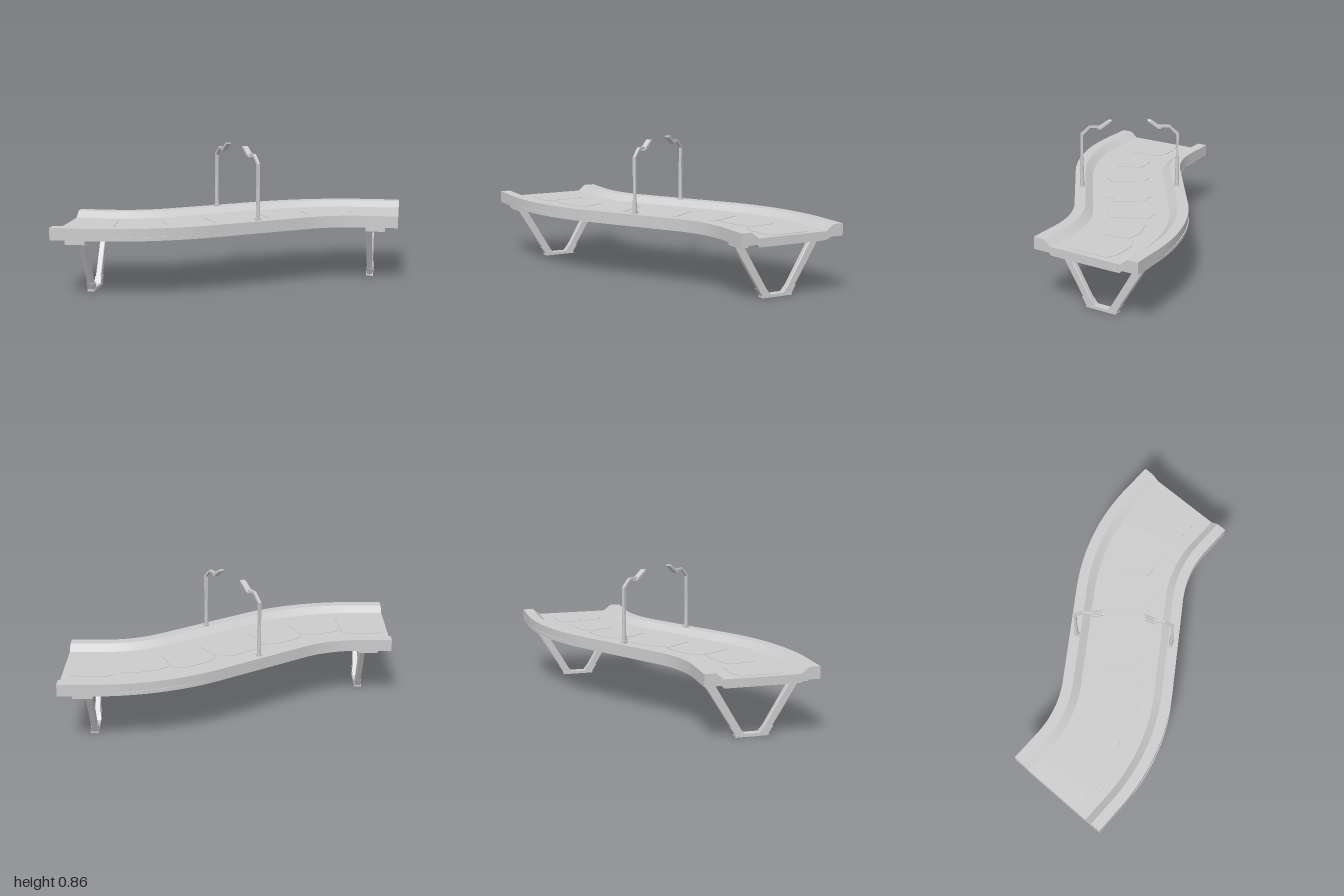
import * as THREE from 'three';
import { toCreasedNormals } from 'three/addons/utils/BufferGeometryUtils.js';

const mat = new THREE.MeshStandardMaterial({ color: 0xcccccc });
const ANGLE = 0.593, RADIUS = 0.969, LINE = 0.312; // bend, arc radius, half of the straight middle
const ARC = RADIUS * ANGLE, END = LINE + ARC + 0.2;

// S-shaped centre line: position and sideways direction at arc length s
function pathAt(s) {
  const sign = Math.sign(s) || 1, q = Math.abs(s);
  const c = Math.cos(ANGLE), sn = Math.sin(ANGLE);
  const l = Math.min(q, LINE);
  const a = ANGLE - Math.min(Math.max(q - LINE, 0), ARC) / RADIUS;
  const x = l * c + RADIUS * (sn - Math.sin(a)) + Math.max(q - LINE - ARC, 0);
  const z = -l * sn - RADIUS * (Math.cos(a) - c);
  return { x: x * sign, z: z * sign, nx: Math.sin(a), nz: Math.cos(a) };
}

// Sweep a closed section of [sideways, height] points along the path, with capped ends
function sweep(section, s0, s1, steps) {
  const pos = [], idx = [];
  let n = 0;
  for (let i = 0; i <= steps; i++) {
    const t = i / steps, s = s0 + (s1 - s0) * t, p = pathAt(s), ring = section(s, t);
    n = ring.length;
    for (const [d, y] of ring) pos.push(p.x + p.nx * d, y, p.z + p.nz * d);
  }
  for (let i = 0; i < steps; i++) {
    for (let j = 0; j < n; j++) {
      const a = i * n + j, d = i * n + (j + 1) % n;
      idx.push(a, a + n, d + n, a, d + n, d);
    }
  }
  for (const [t, base] of [[0, 0], [1, steps * n]]) {
    const ring = section(t ? s1 : s0, t).map(([d, y]) => new THREE.Vector2(d, y));
    for (const [a, b, c] of THREE.ShapeUtils.triangulateShape(ring, [])) {
      if (t) idx.push(base + a, base + c, base + b);
      else idx.push(base + a, base + b, base + c);
    }
  }
  const g = new THREE.BufferGeometry();
  g.setAttribute('position', new THREE.Float32BufferAttribute(pos, 3));
  g.setIndex(idx);
  return toCreasedNormals(g, 0.4);
}

// Flat outline in (z, y), thickened along x
function slab(points, width, bevel = 0) {
  const g = new THREE.ExtrudeGeometry(new THREE.Shape(points.map(([u, y]) => new THREE.Vector2(u, y))), {
    depth: width - 2 * bevel, bevelEnabled: bevel > 0, bevelSize: bevel, bevelThickness: bevel, bevelOffset: -bevel, bevelSegments: 1,
  });
  return g.translate(0, 0, bevel - width / 2).rotateY(-Math.PI / 2);
}

function add(parent, name, geometry, x = 0, y = 0, z = 0) {
  const m = new THREE.Mesh(geometry, mat);
  m.name = name;
  m.position.set(x, y, z);
  parent.add(m);
  return m;
}

const box = (w, h, d) => new THREE.BoxGeometry(w, h, d);

// Deck section: raised rims, sunken floor, underside hollowed towards the middle
function deckSection(s) {
  const fade = 1 - THREE.MathUtils.smoothstep(Math.abs(s), 0.45, 0.8);
  const pts = [[0.34, 0.43], [0.275, 0.43], [0.228, 0.393], [-0.228, 0.393], [-0.275, 0.43], [-0.34, 0.43],
    [-0.34, 0.357], [-0.24, 0.357], [-0.225, 0.342]];
  for (let i = 0; i <= 16; i++) {
    const d = -0.2 + 0.025 * i;
    pts.push([d, 0.342 + 0.025 * fade * Math.sin(Math.PI * i / 16) ** 2]);
  }
  pts.push([0.225, 0.342], [0.24, 0.357], [0.34, 0.357]);
  return pts;
}

function strip(d0, d1, y0, y1) {
  return [[d1, y1], [d0, y1], [d0, y0], [d1, y0]];
}

function makeLegFrame() {
  const legs = new THREE.Group();
  legs.name = 'legFrame';
  for (const k of [1, -1]) {
    const limb = [[0.045, 0.01], [0.097, 0.01], [0.298, 0.335], [0.285, 0.35], [0.245, 0.35]].map(([u, y]) => [u * k, y]);
    add(legs, 'leg', slab(limb, 0.034, 0.004));
    const sleeve = [[0.04, 0.012], [0.1, 0.012], [0.127, 0.055], [0.075, 0.055]].map(([u, y]) => [u * k, y]);
    add(legs, 'legSleeve', slab(sleeve, 0.04));
    add(legs, 'legMount', box(0.12, 0.024, 0.06), -0.035, 0.338, 0.275 * k);
    add(legs, 'legBracket', box(0.044, 0.03, 0.05), 0, 0.342, 0.27 * k);
    add(legs, 'legBolt', new THREE.CylinderGeometry(0.009, 0.009, 0.048, 12).rotateZ(Math.PI / 2), 0, 0.322, 0.258 * k);
  }
  add(legs, 'foot', slab([[-0.1, 0], [0.1, 0], [0.1, 0.01], [0.09, 0.018], [-0.09, 0.018], [-0.1, 0.01]], 0.045));
  legs.position.set(-0.825, 0, 0.34);
  return legs;
}

function makeLamp() {
  const lamp = new THREE.Group();
  lamp.name = 'lamp';
  add(lamp, 'lampPole', slab([[-0.303, 0.42], [-0.288, 0.42], [-0.288, 0.765], [-0.243, 0.81], [-0.18, 0.81],
    [-0.18, 0.823], [-0.247, 0.823], [-0.303, 0.772]], 0.018));
  add(lamp, 'lampBase', toCreasedNormals(new THREE.CylinderGeometry(0.01, 0.014, 0.2, 8), 0.9), 0, 0.525, -0.296);
  add(lamp, 'lampCollar', box(0.03, 0.012, 0.034), 0, 0.434, -0.296);
  add(lamp, 'lampHead', slab([[-0.196, 0.8], [-0.176, 0.8], [-0.11, 0.85], [-0.11, 0.859], [-0.128, 0.859], [-0.196, 0.812]], 0.034, 0.003));
  lamp.rotation.y = ANGLE;
  return lamp;
}

// Everything that repeats when the bridge is turned half way round
function makeHalf() {
  const half = new THREE.Group();
  half.name = 'bridgeHalf';
  half.add(makeLegFrame(), makeLamp());
  // Thin tapered rail on the outer wall
  add(half, 'sideRail', sweep((s, t) => {
    const b = Math.sin(Math.PI * t);
    return strip(0.336, 0.341 + 0.004 * Math.sqrt(Math.max(b, 0)), 0.362, 0.374 + 0.007 * b);
  }, -0.82, -0.366, 16));
  // End coupling plate
  add(half, 'endPlate', box(0.18, 0.03, 0.42), -0.908, 0.355, 0.34);
  // Slightly raised floor panels, narrower between the jogs
  for (const [s0, s1, w] of [[-1.05, -0.78, 0.15], [-0.77, -0.48, 0.11], [-0.47, -0.19, 0.14]]) {
    add(half, 'floorPanel', sweep((s, t) => {
      const e = w - 0.03 * Math.max(0, Math.abs(t - 0.5) * 4 - 1);
      return strip(-e, e, 0.39, 0.396);
    }, s0, s1, 16));
  }
  // Ribs crossing the hollow underside
  add(half, 'undersideRib', sweep(() => strip(-0.2, 0.2, 0.35, 0.375), -0.345, -0.32, 2));
  return half;
}

export function createModel() {
  const model = new THREE.Group();
  model.name = 'curvedFootbridge';
  add(model, 'deck', sweep(deckSection, -END, END, 96));
  add(model, 'middlePanel', sweep((s) => {
    const e = 0.14 - 0.04 * THREE.MathUtils.smoothstep(Math.abs(s), 0.1, 0.15);
    return strip(-e, e, 0.39, 0.396);
  }, -0.18, 0.18, 24));
  add(model, 'middleRib', sweep(() => strip(-0.2, 0.2, 0.346, 0.375), -0.015, 0.015, 2));
  add(model, 'spineRib', sweep(() => strip(-0.012, 0.012, 0.352, 0.375), -0.45, 0.45, 24));
  const left = makeHalf(), right = makeHalf();
  right.rotation.y = Math.PI;
  model.add(left, right);
  return model;
}
